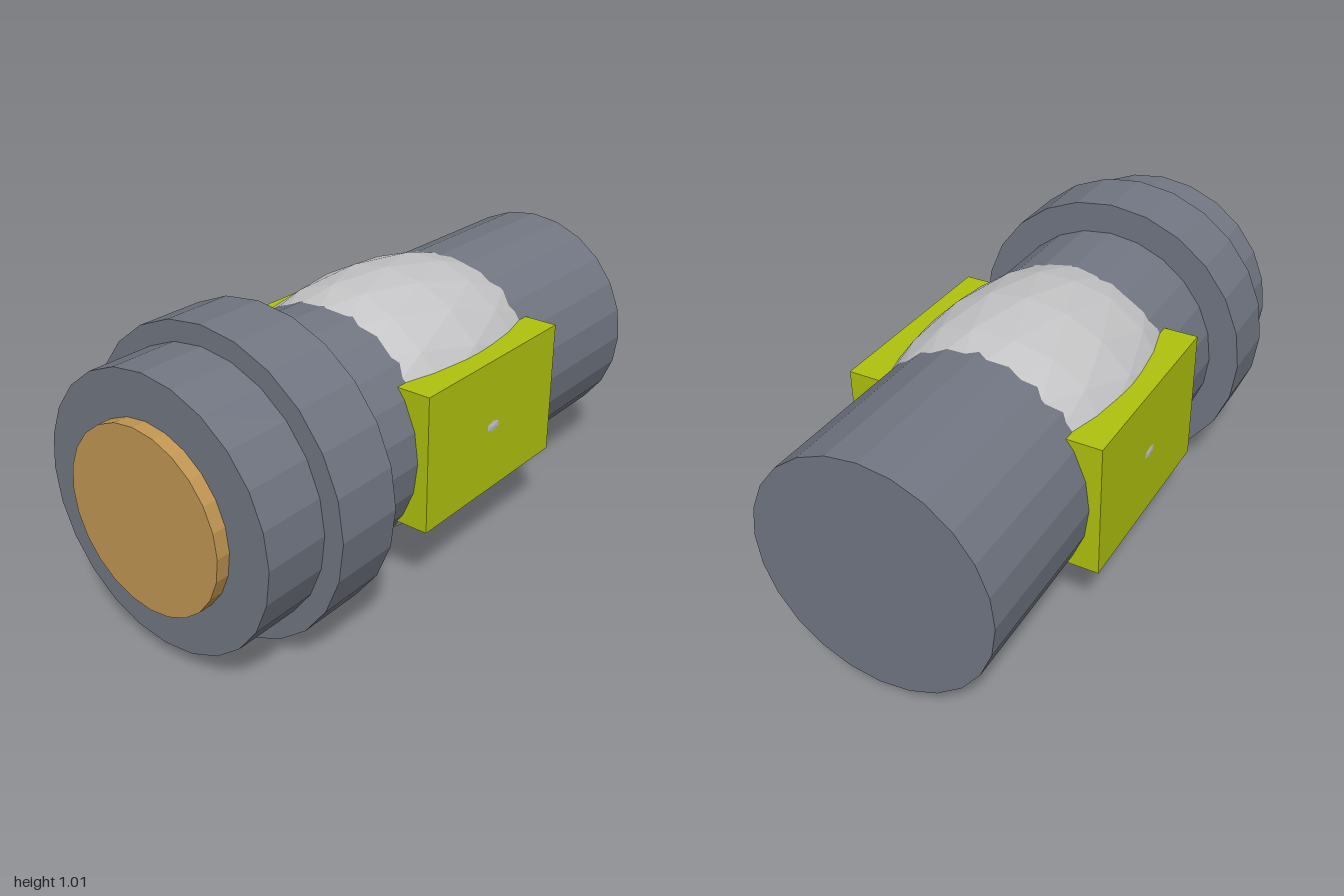
import * as THREE from 'three';

const CY = 0.506; // height of the tube axis

function material(name, color) {
  const m = new THREE.MeshStandardMaterial({ color });
  m.name = name;
  return m;
}

// Bake per-face normals for a faceted look
function faceted(geometry) {
  const g = geometry.index ? geometry.toNonIndexed() : geometry;
  g.computeVertexNormals();
  return g;
}

export function createModel() {
  const group = new THREE.Group();
  group.name = 'tubeDevice';

  const slate = material('slate grey', 0x717682);
  const amber = material('amber', 0xc29653);
  const lime = material('lime', 0xafc10e);
  const silver = material('light grey', 0xc4c4c6);

  function add(name, geometry, mat, x, z) {
    const mesh = new THREE.Mesh(faceted(geometry), mat);
    mesh.name = name;
    mesh.position.set(x, CY, z);
    group.add(mesh);
    return mesh;
  }

  // 24-sided drum lying along z, with a corner at the top
  function drum(name, radius, z0, z1, mat) {
    const g = new THREE.CylinderGeometry(radius, radius, z1 - z0, 24);
    g.rotateX(Math.PI / 2);
    add(name, g, mat, 0, (z0 + z1) / 2);
  }

  drum('mainTube', 0.4, -1, 0.51, slate);
  drum('collar', 0.506, 0.505, 0.735, slate);
  drum('frontRing', 0.44, 0.73, 0.955, slate);
  drum('lens', 0.296, 0.95, 1, amber);

  // Stretched faceted ball bulging through the tube, poles along z
  const ball = new THREE.IcosahedronGeometry(1, 3);
  ball.rotateZ(Math.atan(2 / (1 + Math.sqrt(5))));
  ball.rotateX(-Math.PI / 2);
  ball.rotateZ(Math.PI / 2);
  ball.scale(0.44, 0.44, 0.78);
  add('bulge', ball, silver, 0, -0.095);

  // Side blocks
  for (const side of [1, -1]) {
    const block = add(side > 0 ? 'leftBlock' : 'rightBlock',
      new THREE.BoxGeometry(0.135, 0.465, 0.71), lime, side * 0.3695, -0.095);
    block.position.y = 0.508;
  }

  return group;
}
